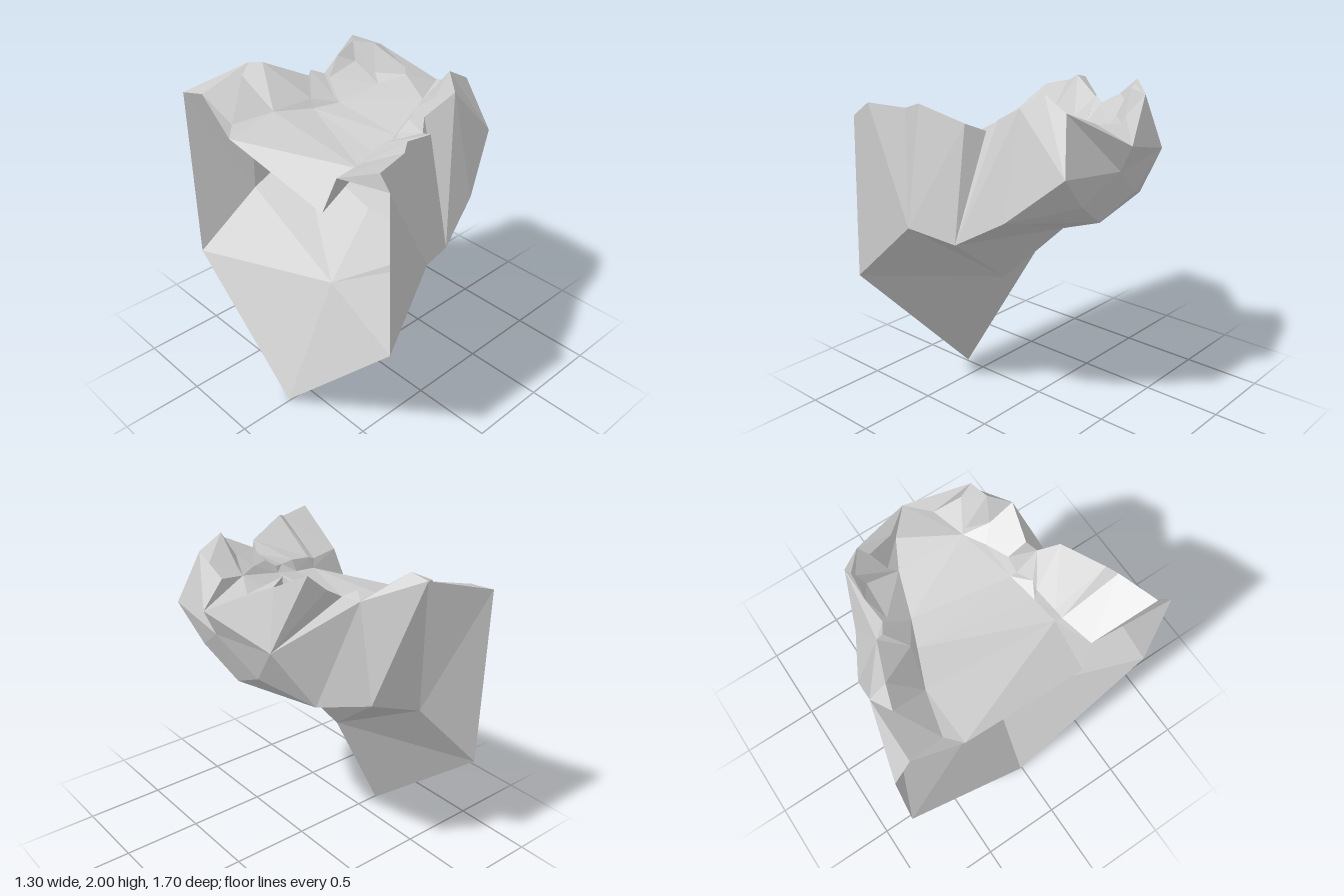
import * as THREE from 'three';

export function createModel() {
  const group = new THREE.Group();
  group.name = 'rockOutcrop';
  const material = new THREE.MeshStandardMaterial({ color: 0xcccccc, flatShading: true, side: THREE.DoubleSide });

  // Triangles around a centre point
  const fan = (c, ring) => ring.slice(1).flatMap((p, i) => [c, p, ring[i]]);

  // Joins two point rows, always taking the shorter diagonal
  function stitch(a, b) {
    const tris = [];
    const dist = (p, q) => Math.hypot(p[0] - q[0], p[1] - q[1], p[2] - q[2]);
    let i = 0, j = 0;
    while (i < a.length - 1 || j < b.length - 1) {
      const da = i < a.length - 1 ? dist(a[i + 1], b[j]) : Infinity;
      const db = j < b.length - 1 ? dist(a[i], b[j + 1]) : Infinity;
      if (da <= db) tris.push(a[i], a[++i], b[j]);
      else tris.push(a[i], b[j + 1], b[j++]);
    }
    return tris;
  }

  function addPart(name, points) {
    const geo = new THREE.BufferGeometry();
    geo.setAttribute('position', new THREE.Float32BufferAttribute(points.flat(), 3));
    geo.computeVertexNormals();
    const mesh = new THREE.Mesh(geo, material);
    mesh.name = name;
    group.add(mesh);
  }

  // Centre line, from the lowest point up to the tip
  const foot = [-0.65, 0, -0.01], keel = [-0.285, 0.72, 0], throat = [0.02, 1.115, 0];
  const belly = [0.25, 1.18, 0], chin = [0.45, 1.25, 0], brow = [0.58, 1.57, 0], tip = [0.65, 1.72, 0];

  // Lower edge of each side wall, back to front
  const leftLow = [[-0.64, 0.905, 0.85], [-0.29, 1.25, 0.76], [-0.03, 1.185, 0.66], [0.255, 1.35, 0.575], [0.55, 1.61, 0.435]];
  const rightLow = [[-0.64, 0.705, -0.835], [-0.3, 1.1, -0.685], [0.08, 1.26, -0.695], [0.34, 1.28, -0.55], [0.55, 1.61, -0.445]];

  // Upper edge of each side wall
  const leftRim = [
    [-0.625, 1.84, 0.815], [-0.605, 1.9, 0.73], [-0.375, 1.89, 0.66], [-0.315, 1.915, 0.62], [-0.055, 1.83, 0.535],
    [0, 1.78, 0.43], [0.05, 1.84, 0.39], [0.24, 1.935, 0.43], [0.315, 2, 0.32], [0.46, 1.92, 0.32],
  ];
  const rightRim = [
    [-0.63, 1.79, -0.845], [-0.24, 1.895, -0.735], [0.04, 1.79, -0.535], [0.1, 1.81, -0.46],
    [0.22, 1.88, -0.48], [0.34, 1.98, -0.475], [0.47, 1.92, -0.37],
  ];

  // Underside facets
  const [l0, l1, l2, l3, l4] = leftLow, [r0, r1, r2, r3, r4] = rightLow;
  const leftCheek = [0.51, 1.41, 0.24], rightCheek = [0.5, 1.38, -0.26];
  addPart('underside', [
    ...fan(keel, [foot, l0, l1, l2, throat, r2, r1, r0, foot]),
    ...fan(belly, [throat, l2, l3, chin, r3, r2, throat]),
  ]);
  addPart('frontFace', [
    ...fan(leftCheek, [chin, l3, l4, brow, chin]),
    ...fan(rightCheek, [chin, brow, r4, r3, chin]),
    ...fan(brow, [l4, leftRim.at(-1), tip, r4]),
    ...fan(tip, [rightRim.at(-1), r4]),
  ]);

  // Side walls, the left one with a notch; the back stays open
  addPart('leftWall', [
    ...fan(l1, [l0, ...leftRim.slice(0, 5), l2]),
    ...fan(l2, [...leftRim.slice(4, 8), l3]),
    ...fan(l4, [l3, ...leftRim.slice(7)]),
  ]);
  addPart('rightWall', stitch(rightRim, rightLow));

  // Sunken plateau
  const leftFloor = [
    [-0.61, 1.5, 0.32], [-0.34, 1.65, 0.315], [-0.19, 1.67, 0.29], [-0.02, 1.71, 0.25], [0.29, 1.79, 0.155], tip,
  ];
  const rightFloor = [
    [-0.62, 1.64, -0.44], [-0.29, 1.69, -0.46], [-0.07, 1.67, -0.37], [0.08, 1.68, -0.31],
    [0.32, 1.75, -0.23], [0.47, 1.79, -0.15], tip,
  ];
  addPart('plateau', stitch(leftFloor, rightFloor));

  // Craggy ledges between the rims and the plateau
  const leftLedge = [
    [-0.56, 1.71, 0.38], [-0.36, 1.7, 0.34], [-0.31, 1.72, 0.33], [-0.17, 1.74, 0.31],
    [-0.11, 1.72, 0.33], [-0.03, 1.74, 0.28], [0.05, 1.79, 0.28], [0.17, 1.8, 0.22], [0.24, 1.86, 0.29],
    [0.3, 1.82, 0.18], [0.45, 1.86, 0.25], [0.47, 1.83, 0.09], tip,
  ];
  const rightLedge = [
    [-0.58, 1.8, -0.73], [-0.54, 1.67, -0.52], [-0.34, 1.86, -0.67], [-0.22, 1.92, -0.63], [-0.06, 1.72, -0.4],
    [0.03, 1.84, -0.5], [0.07, 1.7, -0.34], [0.11, 1.79, -0.43], [0.31, 1.84, -0.42],
    [0.33, 1.95, -0.46], [0.34, 1.8, -0.28], [0.39, 1.95, -0.34], [0.48, 1.83, -0.17], tip,
  ];
  addPart('leftCrags', [...stitch([...leftRim, tip], leftLedge), ...stitch(leftLedge, leftFloor)]);
  addPart('rightCrags', [...stitch(rightFloor, rightLedge), ...stitch(rightLedge, [...rightRim, tip])]);

  return group;
}
